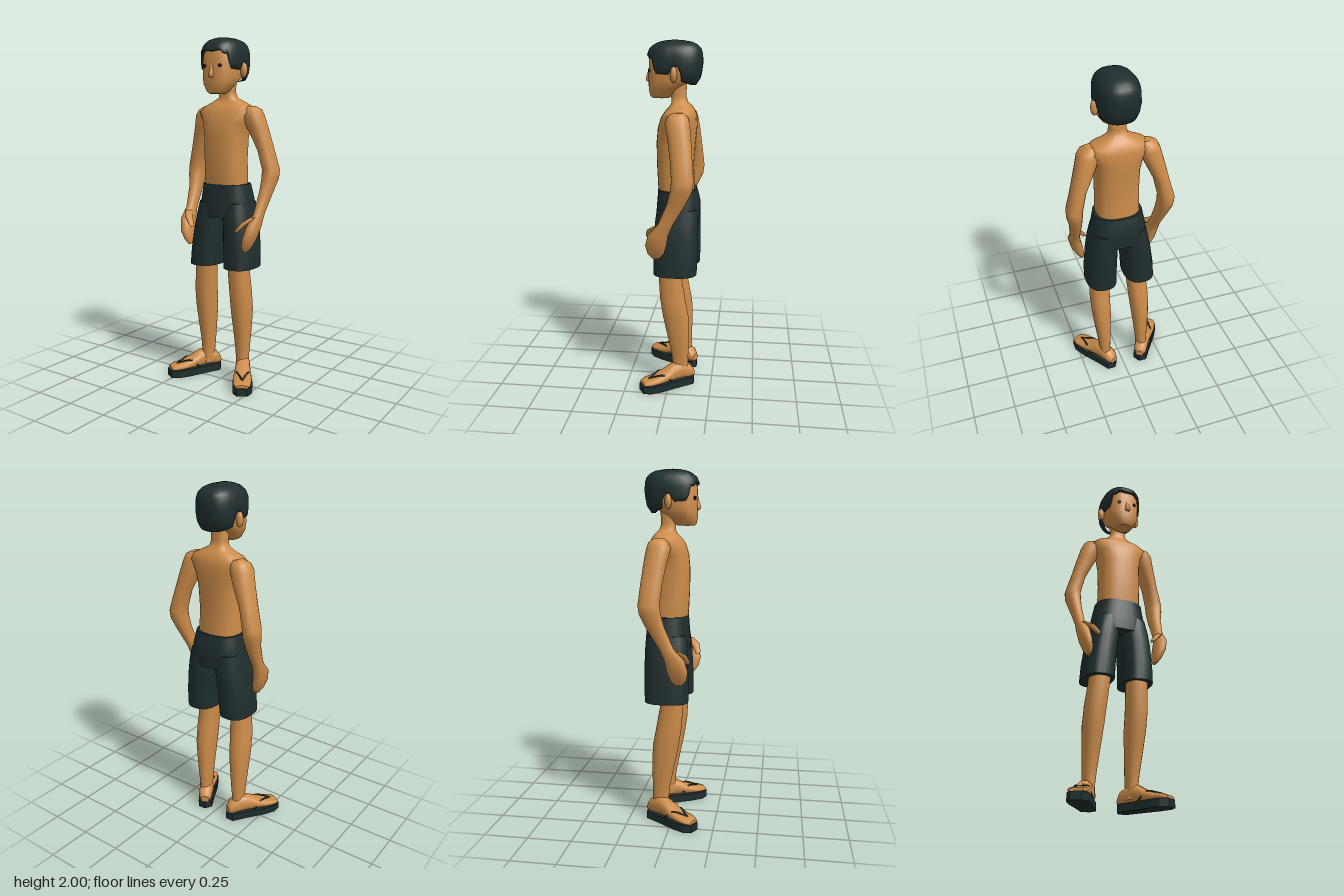
import * as THREE from 'three';

const skin = new THREE.MeshStandardMaterial({ color: 0xcd8d4a }); skin.name = 'skin';
const dark = new THREE.MeshStandardMaterial({ color: 0x202e2e }); dark.name = 'dark cloth and hair';
const black = new THREE.MeshStandardMaterial({ color: 0x0e1212 }); black.name = 'eye black';

// The body leans slightly: an x shift depending on height.
const lean = (y) => (y > 1 ? 0.017 : -0.018 + 0.035 * y);
function leaned(geo) {
  const p = geo.attributes.position;
  for (let i = 0; i < p.count; i++) p.setX(i, p.getX(i) + lean(p.getY(i)));
  return geo;
}

// Closed-around skin from rings of points (bottom to top), with optional flat end caps.
function skinRings(rings, caps = true) {
  const n = rings[0].length, pos = rings.flat(2), idx = [];
  for (let j = 0; j < rings.length - 1; j++) {
    for (let i = 0; i < n; i++) {
      const a = j * n + i, b = j * n + (i + 1) % n;
      idx.push(a, b, b + n, a, b + n, a + n);
    }
  }
  if (caps) {
    [rings[0], rings[rings.length - 1]].forEach((ring, top) => {
      const base = pos.length / 3;
      pos.push(...ring.flat());
      for (let i = 1; i < n - 1; i++) {
        idx.push(base, base + (top ? i : i + 1), base + (top ? i + 1 : i));
      }
    });
  }
  const geo = new THREE.BufferGeometry();
  geo.setAttribute('position', new THREE.Float32BufferAttribute(pos, 3));
  geo.setIndex(idx);
  geo.computeVertexNormals();
  return geo;
}

const power = (v, p) => Math.sign(v) * Math.abs(v) ** p;
function ringPoint(a, x, y, front, back, rx, p) {
  return [x + rx * power(Math.sin(a), p), y,
    (front + back) / 2 + (front - back) / 2 * power(Math.cos(a), p)];
}

// Rings are [centre x, y, front z, back z, half width], listed bottom to top.
function loft(rings, { seg = 18, p = 0.88, side = 1, dz = 0 } = {}) {
  return skinRings(rings.map(([x, y, f, b, rx]) =>
    Array.from({ length: seg }, (_, i) =>
      ringPoint(i / seg * Math.PI * 2, x * side, y, f + dz, b + dz, rx, p))));
}

// Linear interpolation in a table whose first column is the key.
function lookup(table, k) {
  let i = 0;
  while (i < table.length - 2 && table[i + 1][0] < k) i++;
  const a = table[i], b = table[i + 1];
  const t = THREE.MathUtils.clamp((k - a[0]) / (b[0] - a[0]), 0, 1);
  return a.slice(1).map((v, c) => v + (b[c + 1] - v) * t);
}

// Hair cap with a stepped hairline: fringe, sideburns, ear gap, nape.
function hairGeometry() {
  const profile = [ // y, half width, front, back
    [1.755, 0.098, 0.12, -0.135], [1.8, 0.112, 0.125, -0.165], [1.86, 0.117, 0.13, -0.176],
    [1.92, 0.115, 0.13, -0.176], [1.955, 0.103, 0.115, -0.165], [1.98, 0.08, 0.085, -0.14],
    [1.995, 0.04, 0.04, -0.1], [2.0, 0.0, -0.02, -0.02]];
  const hairline = [ // angle from the front, y
    [0, 1.915], [0.42, 1.922], [0.6, 1.9], [0.8, 1.905], [0.95, 1.825], [1.48, 1.82],
    [1.55, 1.86], [1.75, 1.86], [1.85, 1.785], [2.6, 1.765], [Math.PI, 1.76]];
  const seg = 56, rows = 10, rings = [];
  for (let j = -1; j <= rows; j++) {
    const ring = [];
    for (let i = 0; i < seg; i++) {
      const a = i / seg * Math.PI * 2;
      const low = lookup(hairline, Math.min(a, Math.PI * 2 - a))[0];
      const y = low + (2 - low) * Math.sin(Math.max(j, 0) / rows * Math.PI / 2);
      const [rx, f, b] = lookup(profile, y);
      const inset = j < 0 ? 0.025 : 0; // lip turned in to the scalp
      ring.push(ringPoint(a, 0, y, f - inset, b + inset, rx - inset, 0.8));
    }
    rings.push(ring);
  }
  return skinRings(rings, false);
}

export function createModel() {
  const model = new THREE.Group();
  model.name = 'standing figure';
  const add = (name, geo, mat, parent = model) => {
    const mesh = new THREE.Mesh(geo, mat);
    mesh.name = name;
    parent.add(mesh);
    return mesh;
  };

  // Torso and neck
  add('torso', leaned(loft([
    [0, 1.14, 0.06, -0.135, 0.122], [0, 1.2, 0.07, -0.135, 0.124], [0, 1.32, 0.076, -0.13, 0.122],
    [0, 1.45, 0.078, -0.14, 0.125], [0, 1.53, 0.07, -0.148, 0.14], [0, 1.59, 0.05, -0.145, 0.175],
    [0, 1.62, 0.03, -0.135, 0.15], [0, 1.645, 0.005, -0.12, 0.1], [0, 1.668, -0.005, -0.095, 0.055],
    [0, 1.7, -0.002, -0.085, 0.045], [0, 1.79, 0.0, -0.09, 0.048]], { seg: 28, p: 0.8 })), skin);

  // Head
  add('head', leaned(loft([
    [0, 1.69, 0.1, 0.01, 0.04], [0, 1.7, 0.113, -0.005, 0.055], [0, 1.74, 0.12, -0.04, 0.083],
    [0, 1.78, 0.122, -0.105, 0.098], [0, 1.83, 0.12, -0.15, 0.103], [0, 1.9, 0.118, -0.16, 0.104],
    [0, 1.95, 0.1, -0.15, 0.09], [0, 1.98, 0.05, -0.1, 0.05]], { seg: 28, p: 0.8 })), skin);
  add('hair', leaned(hairGeometry()), dark);
  add('nose', leaned(loft([
    [0, 1.777, 0.128, 0.1, 0.012], [0, 1.785, 0.139, 0.1, 0.018], [0, 1.8, 0.138, 0.1, 0.014],
    [0, 1.845, 0.121, 0.1, 0.008]], { seg: 12 })), skin);

  // Pelvis of the shorts
  add('shortsWaist', leaned(loft([
    [0, 0.995, 0.08, -0.165, 0.165], [0, 1.05, 0.08, -0.17, 0.16], [0, 1.1, 0.076, -0.17, 0.154],
    [0, 1.15, 0.072, -0.158, 0.144], [0, 1.185, 0.07, -0.148, 0.138]], { seg: 28, p: 0.8 })), dark);

  for (const side of [1, -1]) {
    const label = side > 0 ? 'left' : 'right';
    const opt = { side, dz: side * 0.01 };

    // Face details
    const ear = new THREE.SphereGeometry(1, 14, 10).scale(0.021, 0.042, 0.019);
    ear.translate(side * 0.116, 1.82, -0.028);
    add(label + 'Ear', leaned(ear), skin);
    const eye = new THREE.CylinderGeometry(0.011, 0.011, 0.008, 12).rotateX(Math.PI / 2);
    eye.rotateY(side * 0.42).translate(side * 0.05, 1.84, 0.111);
    add(label + 'Eye', leaned(eye), black);

    // Arm with a cupped hand
    add(label + 'Arm', leaned(loft([
      [0.196, 0.818, 0.075, 0.03, 0.01], [0.205, 0.85, 0.098, 0.005, 0.024],
      [0.22, 0.9, 0.108, -0.01, 0.033], [0.234, 0.965, 0.09, -0.022, 0.034],
      [0.24, 1.03, 0.032, -0.05, 0.026], [0.25, 1.15, -0.018, -0.122, 0.034],
      [0.259, 1.22, -0.035, -0.155, 0.043], [0.26, 1.27, -0.042, -0.162, 0.045],
      [0.232, 1.38, -0.032, -0.152, 0.042], [0.188, 1.5, -0.012, -0.14, 0.056],
      [0.165, 1.57, 0.005, -0.13, 0.06], [0.158, 1.603, -0.01, -0.12, 0.052],
      [0.145, 1.622, -0.035, -0.095, 0.03]], opt)), skin);
    add(label + 'Thumb', leaned(loft([
      [0.155, 0.93, 0.106, 0.085, 0.008], [0.168, 0.945, 0.112, 0.075, 0.014],
      [0.2, 0.985, 0.1, 0.05, 0.019], [0.232, 1.015, 0.06, 0.0, 0.016]], { ...opt, seg: 12 })), skin);

    // Shorts leg and bare leg
    add(label + 'ShortsLeg', leaned(loft([
      [0.116, 0.703, 0.088, -0.16, 0.09], [0.112, 0.8, 0.088, -0.165, 0.089],
      [0.1, 0.93, 0.083, -0.165, 0.086], [0.09, 1.0, 0.08, -0.165, 0.083],
      [0.08, 1.08, 0.07, -0.16, 0.075]], { side, seg: 22, p: 0.8 })), dark);
    add(label + 'Leg', leaned(loft([
      [0.125, 0.06, -0.02, -0.115, 0.035], [0.123, 0.13, -0.02, -0.113, 0.032],
      [0.123, 0.2, -0.014, -0.115, 0.038], [0.124, 0.32, 0.01, -0.117, 0.048],
      [0.124, 0.44, 0.035, -0.115, 0.057], [0.122, 0.55, 0.051, -0.095, 0.06],
      [0.112, 0.7, 0.06, -0.07, 0.06], [0.11, 0.8, 0.06, -0.08, 0.065]], { side })), skin);

    // Turned-out foot in a flip-flop, built heel to toe along local z
    const foot = new THREE.Group();
    foot.name = label + 'Foot';
    foot.position.set(side * 0.09 - 0.018, 0, -0.135);
    foot.rotation.y = side * 0.54;
    model.add(foot);
    const footGeo = loft([
      [0, -0.005, -0.04, -0.085, 0.025], [0, 0.02, -0.038, -0.12, 0.04], [0, 0.08, -0.038, -0.148, 0.042],
      [0, 0.13, -0.038, -0.138, 0.044], [0, 0.18, -0.038, -0.108, 0.05], [0, 0.24, -0.038, -0.085, 0.054],
      [0, 0.29, -0.038, -0.074, 0.051], [0, 0.322, -0.04, -0.062, 0.036]]).rotateX(Math.PI / 2);
    add(label + 'FootSkin', footGeo, skin, foot);

    const outline = [[0, -0.014], [0.042, 0.01], [0.047, 0.1], [0.058, 0.22], [0.055, 0.29], [0.03, 0.33]];
    const points = [...outline, ...outline.slice(1).reverse().map(([x, z]) => [-x, z])];
    const shape = new THREE.Shape(points.map(([x, z]) => new THREE.Vector2(x, z)));
    const sole = new THREE.ExtrudeGeometry(shape, { depth: 0.044, bevelEnabled: false });
    add(label + 'Sole', sole.rotateX(Math.PI / 2).translate(0, 0.044, 0), dark, foot);

    for (const s of [1, -1]) {
      const curve = new THREE.CatmullRomCurve3([
        new THREE.Vector3(0, 0.072, 0.285), new THREE.Vector3(s * 0.012, 0.084, 0.25),
        new THREE.Vector3(s * 0.036, 0.092, 0.2), new THREE.Vector3(s * 0.049, 0.045, 0.15)]);
      add(label + 'Strap', new THREE.TubeGeometry(curve, 12, 0.005, 6), dark, foot);
    }
  }
  return model;
}
